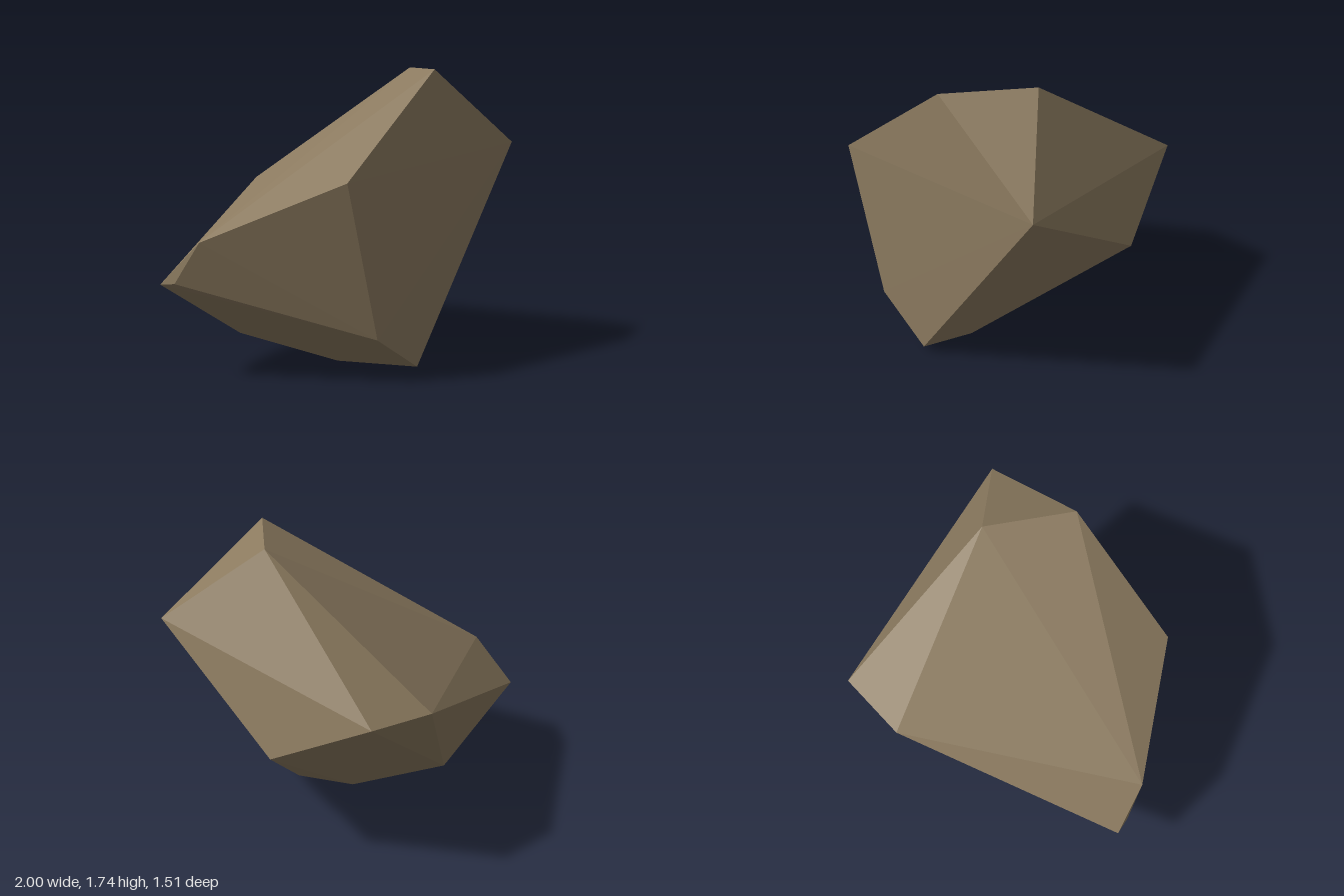
import * as THREE from 'three';
import { ConvexGeometry } from 'three/addons/geometries/ConvexGeometry.js';

// Corners of the faceted boulder, grouped by region
const CORNERS = [
  // peak
  [0.28, 1.742, 0.715], [0.588, 1.735, 0.283],
  // left side
  [1, 1.284, 0.757], [0.928, 0.704, -0.15],
  // back ridge
  [0.28, 1.0, -0.757], [0.703, 1.04, -0.743],
  // right end
  [-1, 0.56, -0.19], [-0.98, 0.575, -0.09], [-0.93, 0.82, 0.065],
  // flat front
  [-0.473, 1.163, 0.735], [-0.22, 0.262, 0.737], [0.128, 0.04, 0.741],
  // underside
  [0.255, 0.06, 0.47], [0.005, 0, 0.23], [-0.395, 0.17, -0.195],
];

export function createModel() {
  const group = new THREE.Group();
  group.name = 'rock';

  const stone = new THREE.MeshStandardMaterial({ color: 0x8b7a5f });
  stone.name = 'brown stone';

  // Convex hull gives one flat normal per facet
  const points = CORNERS.map(([x, y, z]) => new THREE.Vector3(x, y, z));
  const boulder = new THREE.Mesh(new ConvexGeometry(points), stone);
  boulder.name = 'boulder';
  group.add(boulder);
  return group;
}
